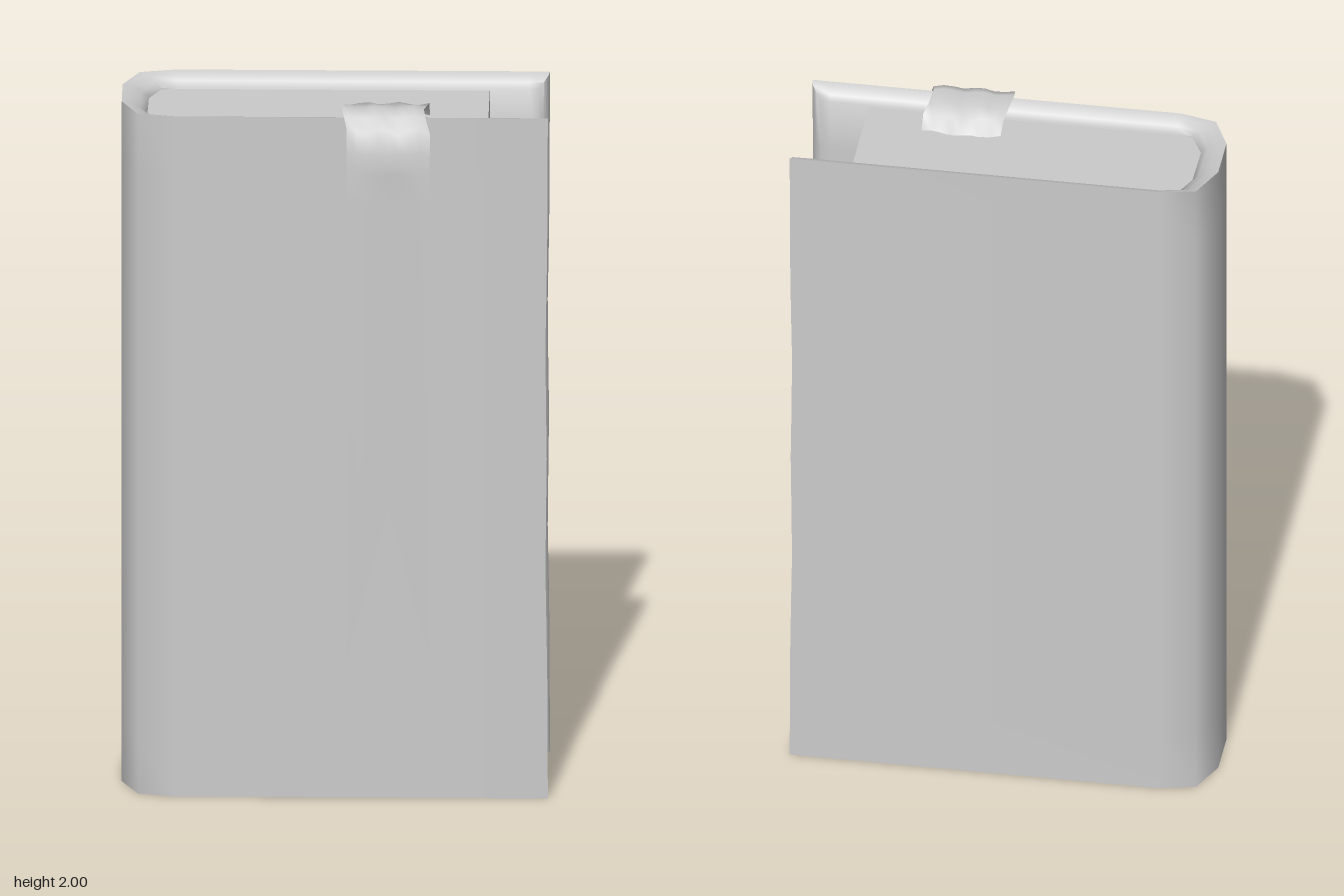
import * as THREE from 'three';
import { mergeGeometries, toCreasedNormals } from 'three/addons/utils/BufferGeometryUtils.js';

const HEIGHT = 1.975;
const lerp = THREE.MathUtils.lerp;

// Surface through rows of points; its front is (row direction) x (column direction).
function gridGeometry(rows) {
  const n = rows[0].length;
  const index = [];
  for (let i = 0; i < rows.length - 1; i++) {
    for (let j = 0; j < n - 1; j++) {
      const a = i * n + j, b = a + n;
      index.push(a, b, b + 1, a, b + 1, a + 1);
    }
  }
  const geometry = new THREE.BufferGeometry();
  geometry.setAttribute('position', new THREE.Float32BufferAttribute(rows.flat(2), 3));
  geometry.setIndex(index);
  geometry.computeVertexNormals();
  return geometry;
}

// Cover stations from front fore edge round the spine to the back: outer x, z, inner x, z.
const stations = [
  [0.585, 0.16, 0.555, 0.115],
  [0.53, 0.16, 0.53, 0.113],
  [-0.44, 0.16, -0.435, 0.113],
  [-0.54, 0.135, -0.48, 0.105],
  [-0.585, 0.035, -0.515, 0.035],
  [-0.585, -0.105, -0.513, -0.105],
  [-0.54, -0.207, -0.48, -0.176],
  [-0.44, -0.23, -0.435, -0.183],
  [0.53, -0.23, 0.53, -0.183],
  [0.585, -0.23, 0.555, -0.185],
];
const LAST = stations.length - 1;
const depths = [0, 0.4, 0.75, 1]; // through the thickness, outside to inside
const ROWS = 12;

function coverPoint(s, d, row) {
  const [ox, oz, ix, iz] = stations[s];
  const u = depths[d], v = row / ROWS;
  const atEdge = s === 0 || s === LAST;
  const inset = 0.035 * u * u;
  // The fore edges are slightly worn and wavy.
  const wear = atEdge ? 0.008 * Math.sin(Math.PI * v) * (0.7 + 0.3 * Math.cos(v * 19)) : 0;
  return [
    lerp(ox, ix, atEdge ? u * u : u) - wear,
    lerp(inset, HEIGHT - inset, v),
    lerp(oz, iz, u),
  ];
}

function coverGeometry() {
  // Ring around the thickness: up the outside, over the lip, down the inside, back under.
  const ring = [];
  for (let r = 0; r <= ROWS; r++) ring.push([0, r]);
  for (let d = 1; d < depths.length; d++) ring.push([d, ROWS]);
  for (let r = ROWS - 1; r >= 0; r--) ring.push([depths.length - 1, r]);
  for (let d = depths.length - 2; d >= 0; d--) ring.push([d, 0]);
  const shell = gridGeometry(ring.map(([d, r]) => stations.map((_, s) => coverPoint(s, d, r))));

  // Rounded fore edges of the two boards.
  const edge = (s, order) => gridGeometry(
    Array.from({ length: ROWS + 1 }, (_, r) => order.map((d) => coverPoint(s, d, r))));
  const parts = [shell, edge(0, [3, 2, 1, 0]), edge(LAST, [0, 1, 2, 3])];
  return toCreasedNormals(mergeGeometries(parts), 1.05);
}

// Page block: follows the inside of the spine, flat at the fore edge.
function pagesGeometry() {
  const inner = stations.slice(2, LAST - 1).map(([, , x, z]) => [x, z]);
  const outline = [[0.42, 0.113], ...inner, [0.42, -0.183]];
  const shape = new THREE.Shape(outline.map(([x, z]) => new THREE.Vector2(x, -z)));
  const bottom = 0.06, top = 1.935;
  const geometry = new THREE.ExtrudeGeometry(shape, { depth: top - bottom, bevelEnabled: false });
  geometry.rotateX(-Math.PI / 2);
  geometry.translate(0, bottom, 0);
  return toCreasedNormals(geometry, 1.05);
}

// Ribbon: z, y, left x, right x, ripple in z, ripple in y for each row along its length.
function ribbonGeometry() {
  const path = [
    [0.022, 1.937, 0.04, 0.26, -0.012, 0.004],
    [0.045, 1.975, 0.037, 0.258, -0.008, -0.004],
    [0.09, 1.986, 0.028, 0.25, 0, 0.004],
    [0.14, 1.996, 0.02, 0.245, 0, 0.004],
    [0.175, 1.983, 0.025, 0.25, 0.004, 0.004],
    [0.2, 1.95, 0.033, 0.262, 0.01, 0.01],
    [0.213, 1.89, 0.034, 0.262, 0.016, 0],
    [0.217, 1.83, 0.035, 0.262, 0.012, 0],
    [0.222, 1.74, 0.035, 0.262, 0, 0],
    [0.222, 0.42, 0.035, 0.262, 0, 0],
  ];
  const columns = 8;
  const rows = path.map(([z, y, x0, x1, rz, ry], i) => Array.from({ length: columns + 1 }, (_, j) => {
    const t = j / columns;
    const peak = 1 - Math.abs(2 * t - 1);
    const notch = i === path.length - 1 ? 0.445 * peak : 0; // swallowtail end
    return [lerp(x0, x1, t), y + notch + ry * Math.cos(t * 15), z + rz * peak];
  }));
  return gridGeometry(rows);
}

export function createModel() {
  const book = new THREE.Group();
  book.name = 'book';
  const add = (name, geometry, side = THREE.FrontSide) => {
    const mesh = new THREE.Mesh(geometry, new THREE.MeshStandardMaterial({ color: 0xcccccc, side }));
    mesh.name = name;
    book.add(mesh);
  };
  add('cover', coverGeometry());
  add('pages', pagesGeometry());
  add('ribbonBookmark', ribbonGeometry(), THREE.DoubleSide);
  return book;
}
